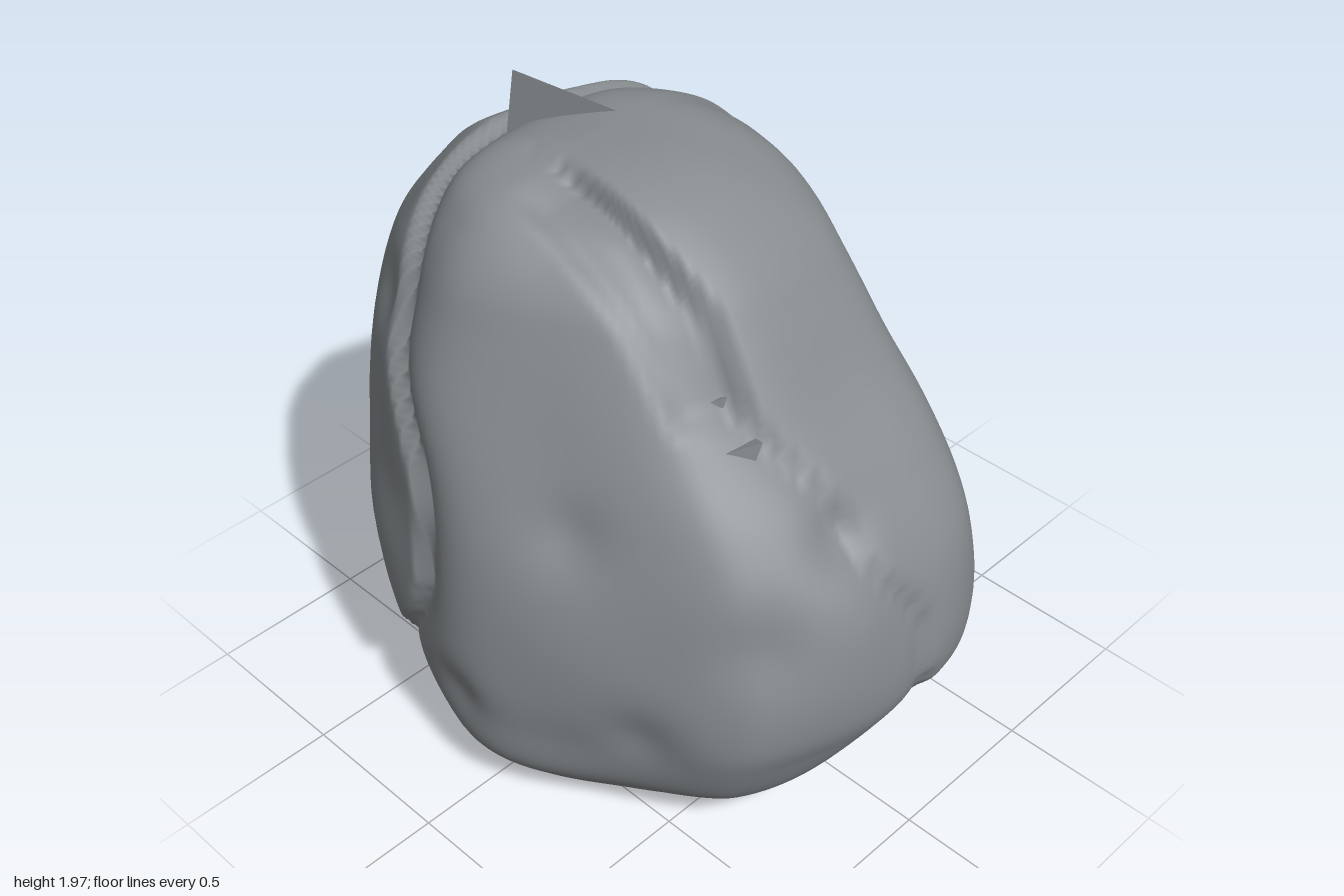
import * as THREE from 'three';
import { mergeVertices } from 'three/addons/utils/BufferGeometryUtils.js';
import { ConvexGeometry } from 'three/addons/geometries/ConvexGeometry.js';

const V = (x, y, z) => new THREE.Vector3(x, y, z);
const smooth = THREE.MathUtils.smoothstep;

// plan outline of the boulder, clockwise from above
const OUTLINE = [
  [-0.93, 0.18], [-0.88, -0.05], [-0.87, -0.3], [-0.82, -0.52], [-0.74, -0.66], [-0.57, -0.76],
  [-0.25, -0.82], [0, -0.78], [0.2, -0.75], [0.5, -0.66], [0.8, -0.48], [0.91, -0.3],
  [0.93, 0], [0.91, 0.2], [0.82, 0.4], [0.7, 0.51], [0.4, 0.65], [0, 0.81],
  [-0.3, 0.78], [-0.6, 0.65], [-0.8, 0.45], [-0.9, 0.27],
];

// levels: y, min x, max x, min z, max z
const LEVELS = [
  [0.02, -0.1, -0.1, 0, 0], [0.01, -0.35, 0.4, -0.42, 0.4], [0.03, -0.5, 0.64, -0.62, 0.62],
  [0.1, -0.58, 0.75, -0.69, 0.7], [0.2, -0.69, 0.81, -0.73, 0.78], [0.35, -0.81, 0.88, -0.77, 0.81],
  [0.5, -0.88, 0.93, -0.81, 0.82], [0.7, -0.92, 0.92, -0.82, 0.81], [0.9, -0.93, 0.87, -0.79, 0.78],
  [1.1, -0.93, 0.74, -0.75, 0.74], [1.3, -0.89, 0.57, -0.7, 0.69], [1.5, -0.84, 0.43, -0.64, 0.62],
  [1.62, -0.77, 0.34, -0.59, 0.57], [1.72, -0.68, 0.23, -0.5, 0.5], [1.8, -0.57, 0.1, -0.36, 0.41],
  [1.845, -0.45, -0.05, -0.2, 0.25], [1.86, -0.25, -0.25, 0, 0],
];

// chipped hollows: x, y, z, radius, depth
const DENTS = [
  [-0.55, 1.42, 0.5, 0.1, 0.03], [0.72, 0.8, 0.36, 0.12, 0.05], [0.78, 1.05, 0.1, 0.09, 0.04],
  [-0.06, 0.38, 0.8, 0.1, 0.03], [-0.64, 0.52, 0.62, 0.11, 0.03], [0.5, 0.45, 0.6, 0.11, 0.03],
  [0.25, 1.05, 0.65, 0.1, 0.025], [0.8, 0.45, -0.45, 0.12, 0.03], [-0.6, 1.6, -0.45, 0.12, 0.03],
  [0.3, 0.35, -0.72, 0.1, 0.025], [-0.75, 0.8, -0.6, 0.12, 0.025],
];

// crack profile: sharp lip on one side, gradual recovery on the other
const crack = (s, width) => (s > 0 ? Math.exp(-s / width) : Math.exp(-((s / 0.018) ** 2)));

function weather(p) {
  const { x, y, z } = p;
  let depth = 0;
  // long crack separating the side slab
  const bulge = 0.32 * Math.exp(-(((y - 0.83) / 0.5) ** 2));
  const seamX = -0.51 + bulge * smooth(z, -0.2, 0.6) + 0.015 * Math.sin(y * 13);
  depth += 0.045 * crack(x - seamX, 0.09) * smooth(y, 0.08, 0.25);
  // ledge and crack dividing the front and rear lobes
  const seamZ = 0.2 - 0.33 * smooth(1.5 - y, 0, 1.1) + 0.02 * Math.sin(y * 15);
  const right = smooth(x, -0.48, -0.2) * smooth(y, 0.15, 0.5);
  depth += 0.035 * right * crack(z - seamZ, 0.1);
  // shallow trough below the upper ledge
  depth += 0.03 * smooth(z, 0.18, 0.22) * (1 - smooth(z, 0.34, 0.4)) *
    smooth(x, -0.25, -0.12) * smooth(y, 1.32, 1.4);
  for (const [dx, dy, dz, r, d] of DENTS) {
    depth += d * Math.exp(-((x - dx) ** 2 + (y - dy) ** 2 + (z - dz) ** 2) / (r * r));
  }
  // gentle unevenness
  depth += 0.007 * Math.sin(7 * x + 3 * y) * Math.sin(6 * y - 5 * z + 1) + 0.004 * Math.sin(13 * z + 9 * y + 8 * x);
  p.addScaledVector(V(x + 0.1, (y - 0.8) * 0.7, z).normalize(), -depth);
  // underside rises towards the back and right
  const lift = Math.max(0, 0.1 * (0.5 - z)) + 0.06 * Math.max(0, x + 0.3);
  p.y += lift * (1 - smooth(y, 0, 0.5));
  return p;
}

function boulderGeometry(rows = 110, cols = 160) {
  const spline = (pts, closed) => new THREE.CatmullRomCurve3(pts, closed, 'catmullrom', 0.5);
  const plan = spline(OUTLINE.map(([x, z]) => V(x, 0, z)), true);
  const low = spline(LEVELS.map(([y, x0, , z0]) => V(x0, y, z0)), false);
  const high = spline(LEVELS.map(([y, , x1, , z1]) => V(x1, y, z1)), false);
  const ring = plan.getSpacedPoints(cols).slice(0, cols);
  const position = [], index = [];
  for (let i = 0; i <= rows; i++) {
    const a = low.getPoint(i / rows), b = high.getPoint(i / rows);
    for (const o of ring) {
      const u = (o.x + 0.93) / 1.86, w = (o.z + 0.82) / 1.635;
      const p = weather(V(a.x + (b.x - a.x) * u, a.y, a.z + (b.z - a.z) * w));
      position.push(p.x, Math.max(0, p.y), p.z);
    }
  }
  for (let i = 0; i < rows; i++) {
    for (let j = 0; j < cols; j++) {
      const k = (j + 1) % cols;
      const a = i * cols + j, b = i * cols + k, c = a + cols, d = b + cols;
      if (i > 0) index.push(a, c, b);
      if (i < rows - 1) index.push(b, c, d);
      // pole rows keep a single triangle per segment
    }
  }
  let g = new THREE.BufferGeometry();
  g.setAttribute('position', new THREE.Float32BufferAttribute(position, 3));
  g.setIndex(index);
  g = mergeVertices(g, 1e-5);
  g.computeVertexNormals();
  return g;
}

export function createModel() {
  const group = new THREE.Group();
  group.name = 'boulder';
  const stone = new THREE.MeshStandardMaterial({ color: 0x868b8e });
  stone.name = 'grey stone';
  const add = (name, geometry) => {
    const mesh = new THREE.Mesh(geometry, stone);
    mesh.name = name;
    group.add(mesh);
  };
  add('boulderBody', boulderGeometry());
  // jagged splinter on the crown
  add('topSplinter', new ConvexGeometry([
    V(-0.46, 2, 0.13), V(-0.5, 1.78, 0.13), V(-0.28, 1.84, -0.11), V(-0.47, 1.8, -0.12),
  ]));
  // small shard hanging from the rear lower edge of the crack
  add('lowerShard', new ConvexGeometry([
    V(-0.52, 0.1, -0.66), V(-0.56, 0.24, -0.7), V(-0.42, 0.22, -0.7), V(-0.48, 0.26, -0.58),
  ]));
  // chips standing along the right ledge
  for (const [x, y, z] of [[0.4, 1.36, 0.2], [0.53, 1.28, 0.2]]) {
    add('ledgeChip', new ConvexGeometry([
      V(x + 0.02, y + 0.03, z), V(x - 0.06, y, z + 0.12), V(x, y - 0.13, z + 0.05), V(x - 0.1, y - 0.02, z - 0.05),
    ]));
  }
  return group;
}
